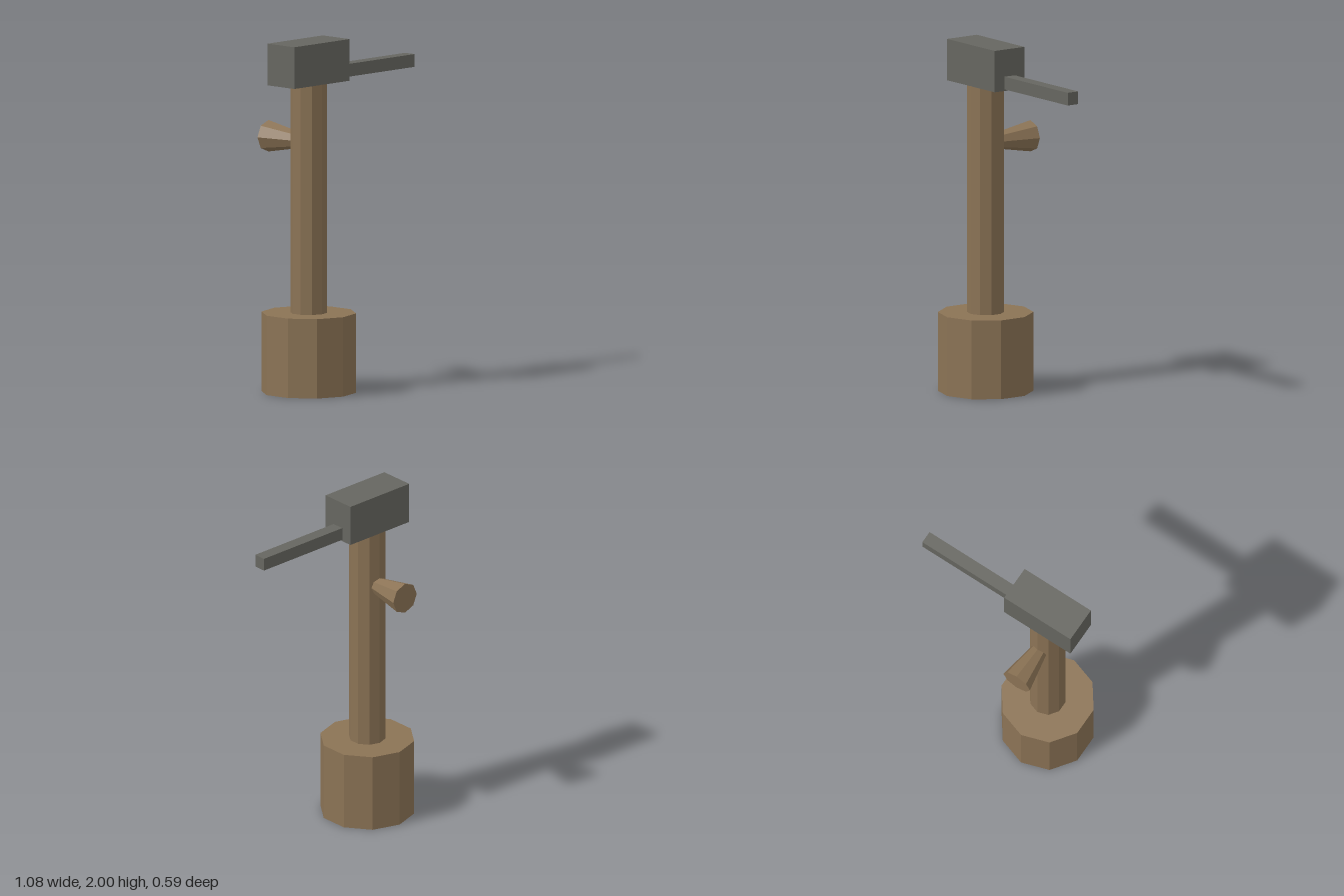
import * as THREE from 'three';

export function createModel() {
  const group = new THREE.Group();
  const wood = new THREE.MeshStandardMaterial({ color: 0x8b7355, flatShading: true });
  const metal = new THREE.MeshStandardMaterial({ color: 0x666660, flatShading: true });

  // Post axis
  const cx = -0.285, cz = 0.022;

  const add = (name, geometry, material, x, y, z) => {
    const mesh = new THREE.Mesh(geometry, material);
    mesh.name = name;
    mesh.position.set(x, y, z);
    group.add(mesh);
    return mesh;
  };

  // Ten-sided block at the foot and the slim post standing on it
  add('base', new THREE.CylinderGeometry(0.27, 0.27, 0.453, 10), wood, cx, 0.2265, cz);
  add('post', new THREE.CylinderGeometry(0.104, 0.104, 1.311, 10), wood, cx, 1.1085, cz);

  // Flared peg pointing backwards, its thin end sunk into the post
  const peg = new THREE.CylinderGeometry(0.09, 0.044, 0.253, 8);
  peg.rotateX(-Math.PI / 2);
  add('peg', peg, wood, cx, 1.43, -0.1665);

  // Head block with a square bar reaching out to the side
  add('head', new THREE.BoxGeometry(0.45, 0.238, 0.208), metal, cx, 1.881, 0.021);
  add('bar', new THREE.BoxGeometry(0.6, 0.073, 0.073), metal, 0.241, 1.808, 0.021);

  return group;
}
